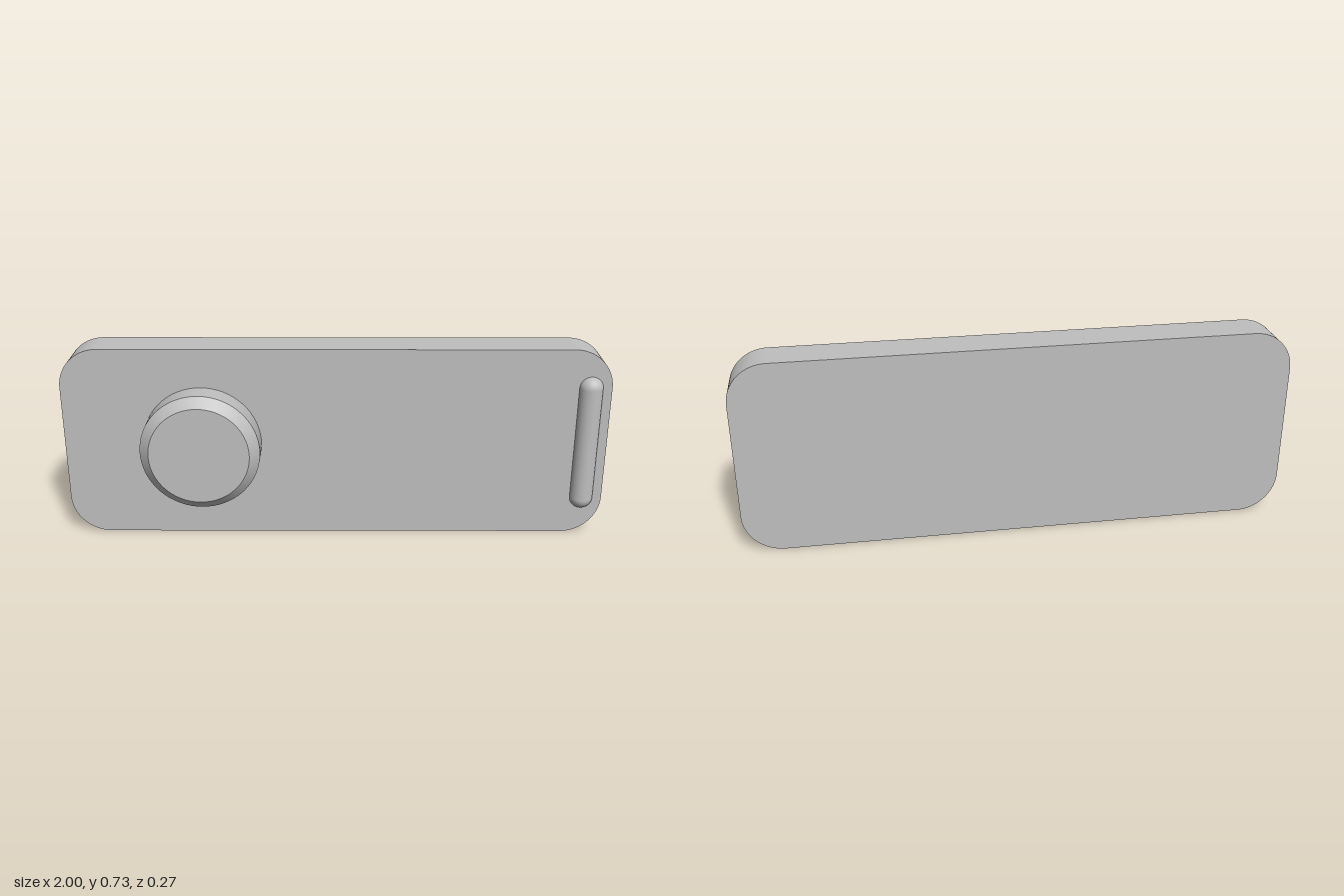
import * as THREE from 'three';
import { toCreasedNormals } from 'three/addons/utils/BufferGeometryUtils.js';

const W = 2, H = 0.726, R = 0.145;    // plate outline and corner radius
const BACK = -0.134, FACE = 0.011;    // plate back and front in z

function roundedRect(w, h, r) {
  const x = w / 2, y = h / 2;
  const s = new THREE.Shape();
  s.moveTo(-x + r, -y);
  s.lineTo(x - r, -y);
  s.absarc(x - r, -y + r, r, -Math.PI / 2, 0);
  s.lineTo(x, y - r);
  s.absarc(x - r, y - r, r, 0, Math.PI / 2);
  s.lineTo(-x + r, y);
  s.absarc(-x + r, y - r, r, Math.PI / 2, Math.PI);
  s.lineTo(-x, -y + r);
  s.absarc(-x + r, -y + r, r, Math.PI, Math.PI * 1.5);
  return s;
}

export function createModel() {
  const group = new THREE.Group();
  const grey = new THREE.MeshStandardMaterial({ color: 0xbfbfbf });
  grey.name = 'grey';

  const add = (name, geometry, x, y, z) => {
    const mesh = new THREE.Mesh(geometry, grey);
    mesh.name = name;
    mesh.position.set(x, y, z);
    group.add(mesh);
  };

  // Flat plate with rounded corners
  const plate = new THREE.ExtrudeGeometry(roundedRect(W, H, R), {
    depth: FACE - BACK, bevelEnabled: false, curveSegments: 16,
  });
  add('plate', toCreasedNormals(plate, 0.5), 0, H / 2, BACK);

  // Round knob with a chamfered front edge, turned around z
  const profile = [[0, 0], [0.218, 0], [0.218, 0.088], [0.182, 0.123], [0, 0.123]]
    .map(([r, d]) => new THREE.Vector2(r, d));
  const knob = new THREE.LatheGeometry(profile, 64).rotateX(Math.PI / 2);
  add('knob', toCreasedNormals(knob, 0.5), -0.492, H / 2, FACE);

  // Upright rounded bar, half sunk into the plate
  add('bar', new THREE.CapsuleGeometry(0.0436, 0.435, 12, 32), 0.924, H / 2, 0.0036);

  return group;
}
